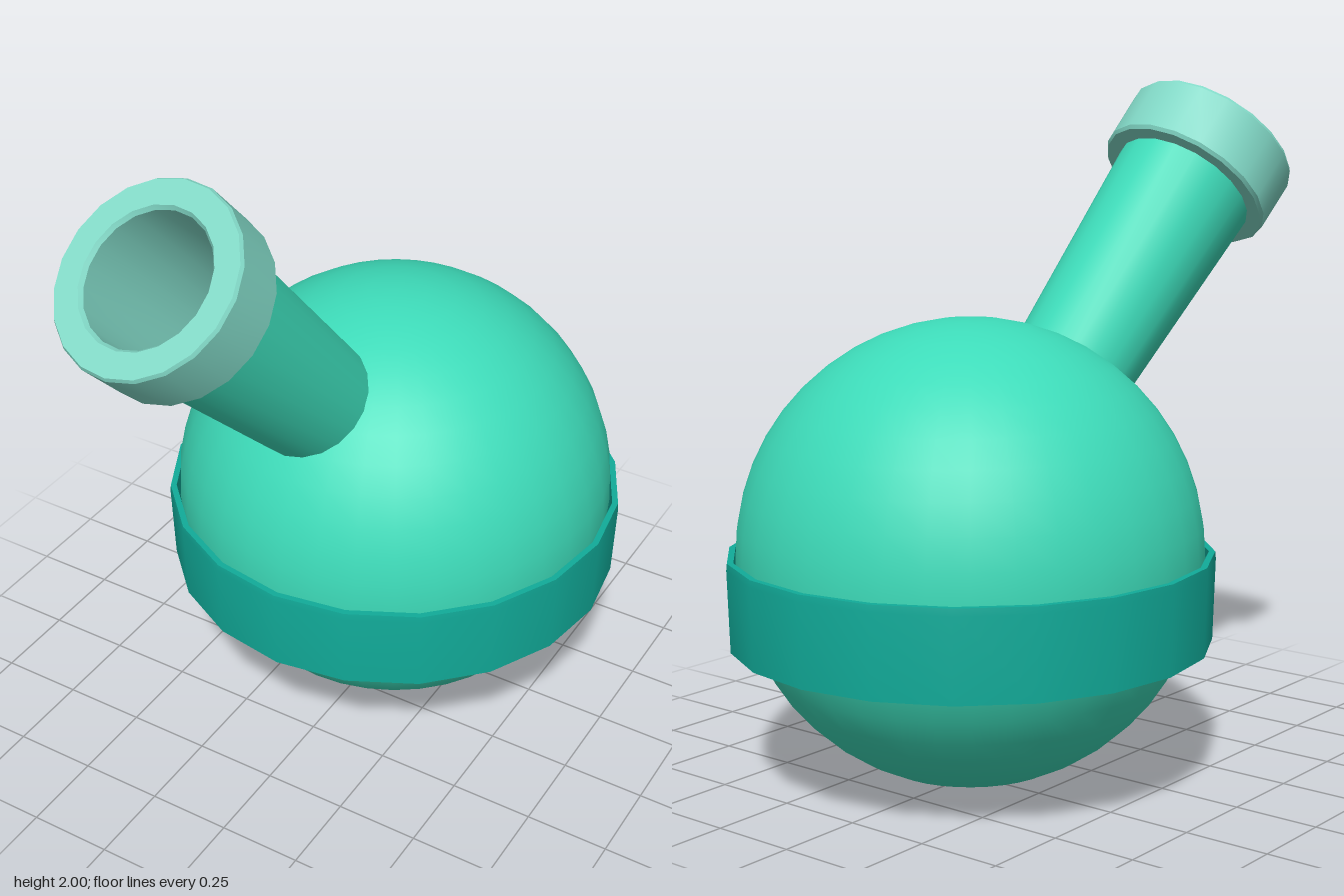
import * as THREE from 'three';
import { toCreasedNormals } from 'three/addons/utils/BufferGeometryUtils.js';

const material = (name, color) => {
  const m = new THREE.MeshStandardMaterial({ color });
  m.name = name;
  return m;
};

// Turned part with smooth sides and sharp rims
function turned(name, profile, mat, sides = 20) {
  const points = profile.map(([r, y]) => new THREE.Vector2(r, y));
  const geometry = toCreasedNormals(new THREE.LatheGeometry(points, sides), 0.5);
  const mesh = new THREE.Mesh(geometry, mat);
  mesh.name = name;
  return mesh;
}

export function createModel() {
  const green = material('bright green', 0x3ddbb9);
  const teal = material('deep teal', 0x11ab99);
  const pale = material('pale green', 0x82d9c7);
  const model = new THREE.Group();
  model.name = 'roundFlask';

  // Round body
  const body = new THREE.Mesh(new THREE.SphereGeometry(0.667, 36, 24), green);
  body.name = 'body';
  body.position.set(0, 0.667, -0.245);
  model.add(body);

  // Thin open band just below the equator
  const band = turned('band', [
    [0.676, 0.415], [0.69, 0.415], [0.697, 0.65], [0.695, 0.67], [0.677, 0.67], [0.676, 0.415],
  ], teal);
  band.position.z = -0.245;
  model.add(band);

  // Slanted neck assembly: its origin is the mouth, +y points out of the flask
  const neck = new THREE.Group();
  neck.name = 'neck';
  neck.position.set(-0.155, 1.82, 0.743);
  neck.quaternion.setFromUnitVectors(
    new THREE.Vector3(0, 1, 0),
    new THREE.Vector3(-0.11, 0.743, 0.669).normalize(),
  );
  neck.add(turned('neckTube', [[0.178, -1.0], [0.222, -0.17]], green));

  // Collar around the mouth
  neck.add(turned('collar', [
    [0.215, -0.19], [0.264, -0.19], [0.272, -0.18], [0.275, -0.01], [0.269, 0],
    [0.197, 0], [0.188, -0.012],
  ], pale));

  // Hollow inside of the neck, closed by the body below
  neck.add(turned('bore', [[0.188, -0.012], [0.188, -0.3], [0.165, -1.0]], pale));
  model.add(neck);

  return model;
}
